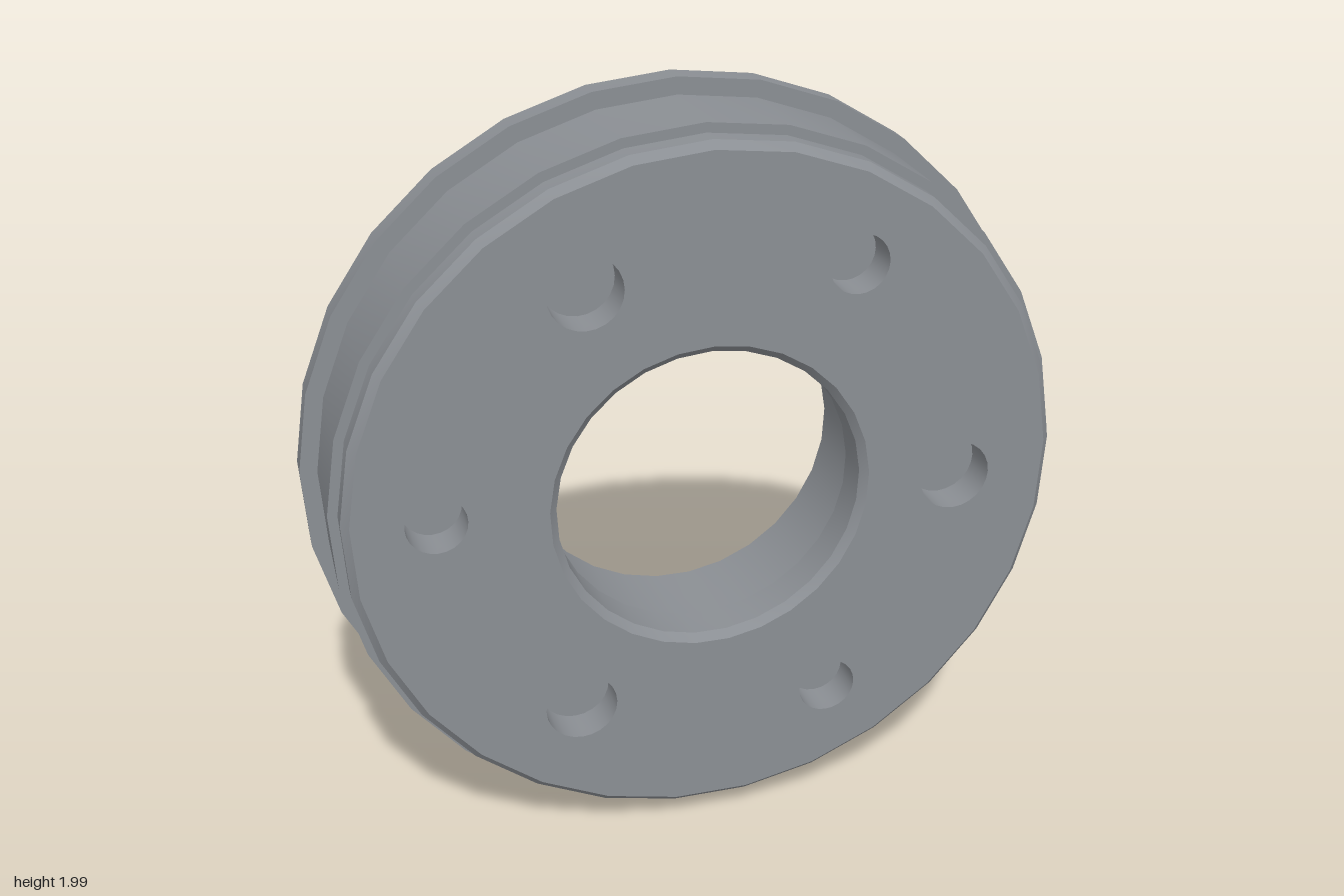
import * as THREE from 'three';
import { toCreasedNormals } from 'three/addons/utils/BufferGeometryUtils.js';

const SIDES = 29;

// Regular polygon with one corner at the top
function ring(radius, sides, cx = 0, cy = 0) {
  return Array.from({ length: sides }, (_, i) => {
    const a = Math.PI + (i / sides) * Math.PI * 2;
    return new THREE.Vector2(cx + radius * Math.sin(a), cy - radius * Math.cos(a));
  });
}

// Revolves [radius, z] points about the z axis
function turned(profile, sides) {
  const points = profile.map(([r, z]) => new THREE.Vector2(r, z));
  const geometry = new THREE.LatheGeometry(points, sides, Math.PI);
  geometry.rotateX(Math.PI / 2);
  return toCreasedNormals(geometry, 0.5);
}

export function createModel() {
  const group = new THREE.Group();
  const metal = new THREE.MeshStandardMaterial({ color: 0x8b8f94 });
  metal.name = 'grey metal';

  const disc = new THREE.Group();
  disc.name = 'flangedRing';
  disc.position.y = 1;
  group.add(disc);

  const add = (name, geometry) => {
    const mesh = new THREE.Mesh(geometry, metal);
    mesh.name = name;
    disc.add(mesh);
    return mesh;
  };

  // Stepped bore, back face, rear flange, body and chamfered front shoulder
  add('ringBody', turned([
    [0.42, 0.2], [0.4, 0.18], [0.4, 0.08], [0.44, 0.08], [0.44, -0.2],
    [1, -0.2], [1, -0.13], [0.955, -0.13], [0.955, 0.125],
    [0.93, 0.125], [0.93, 0.18], [0.91, 0.2],
  ], SIDES));

  // Blind holes alternate between a wide and a narrow size
  const wide = 0.095, narrow = 0.078, depth = 0.1, holeSides = 24;
  const holes = [
    [-0.315, 0.59, wide], [0.37, 0.595, narrow], [0.66, -0.02, wide],
    [0.325, -0.615, narrow], [-0.355, -0.56, wide], [-0.7, 0.03, narrow],
  ];

  // Front face, pierced by the bore and the holes
  const face = new THREE.Shape(ring(0.91, SIDES));
  face.holes.push(new THREE.Path(ring(0.42, SIDES)));
  for (const [x, y, r] of holes) face.holes.push(new THREE.Path(ring(r, holeSides, x, y)));
  add('frontFace', new THREE.ShapeGeometry(face)).position.z = 0.2;

  // Hole walls and floors
  holes.forEach(([x, y, r], i) => {
    const profile = [[r, 0], [r, -depth], [0, -depth]];
    add(`blindHole${i + 1}`, turned(profile, holeSides)).position.set(x, y, 0.2);
  });

  return group;
}
